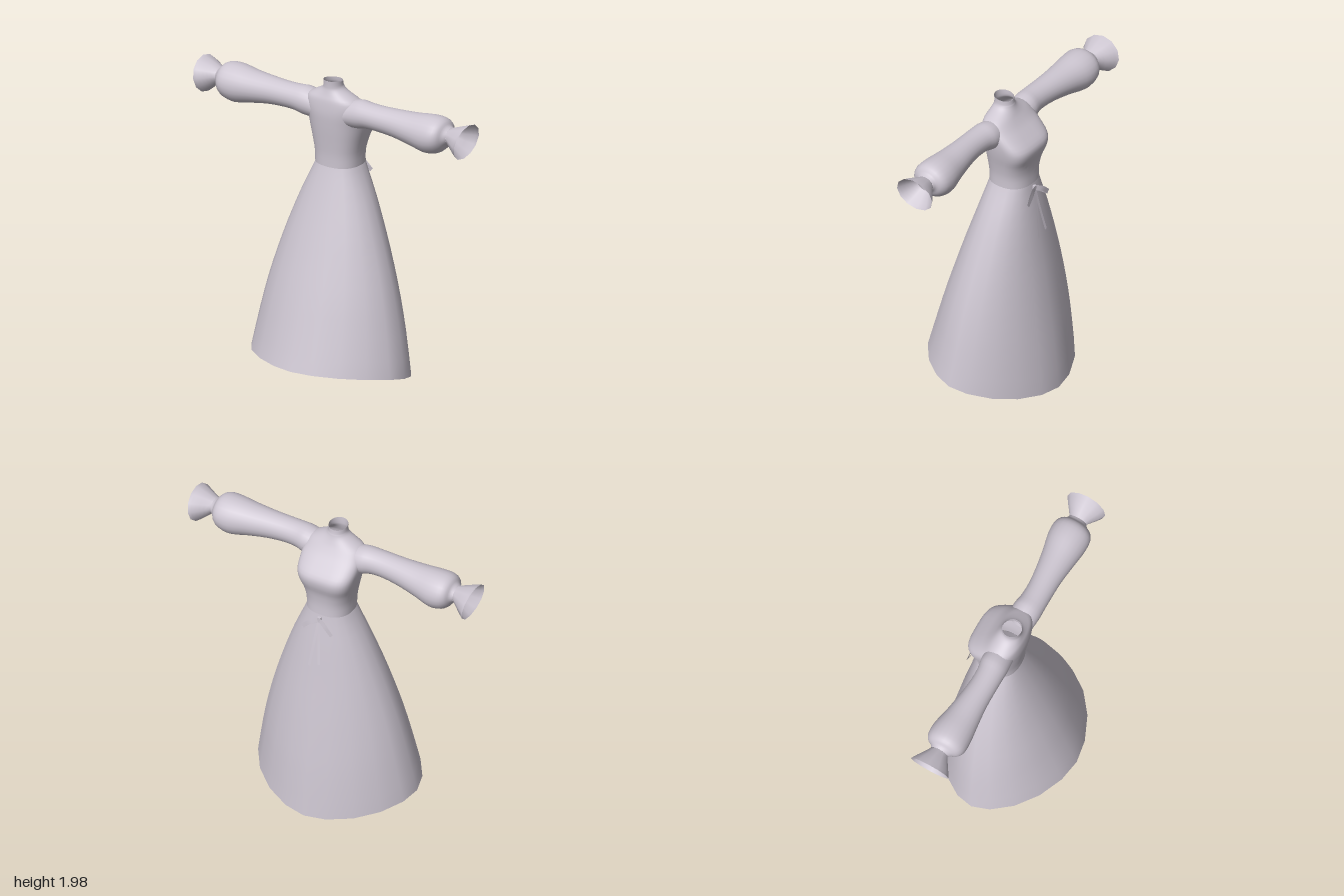
import * as THREE from 'three';

const cloth = new THREE.MeshStandardMaterial({ color: 0xcdc6d1, side: THREE.DoubleSide });
cloth.name = 'pale lilac cloth';

// Open skin over a list of closed rings of points
function loft(rings, flip = false) {
  const n = rings[0].length;
  const index = [];
  for (let r = 0; r < rings.length - 1; r++) {
    for (let i = 0; i < n; i++) {
      const a = r * n + i, b = r * n + (i + 1) % n, c = a + n, d = b + n;
      if (flip) index.push(a, b, c, b, d, c);
      else index.push(a, c, b, b, c, d);
    }
  }
  const geometry = new THREE.BufferGeometry();
  geometry.setAttribute('position', new THREE.Float32BufferAttribute(rings.flat(2), 3));
  geometry.setIndex(index);
  geometry.computeVertexNormals();
  return geometry;
}

// Smoothly fills in rows of section values
function refine(rows, steps) {
  const out = [];
  const last = rows.length - 1;
  for (let k = 0; k <= last * steps; k++) {
    const i = Math.min(Math.floor(k / steps), last - 1), t = k / steps - i;
    const p = [i - 1, i, i + 1, i + 2].map((j) => rows[THREE.MathUtils.clamp(j, 0, last)]);
    out.push(p[0].map((_, c) => {
      const [a, b, d, e] = p.map((row) => row[c]);
      const m0 = (d - a) / 2, m1 = (e - b) / 2;
      return b + m0 * t + (3 * (d - b) - 2 * m0 - m1) * t * t + (2 * (b - d) + m0 + m1) * t * t * t;
    }));
  }
  return out;
}

const power = (v, p) => Math.sign(v) * Math.abs(v) ** (2 / p);

// Horizontal outline: half width, front z, back z, squareness of front and back
function outline(n, halfW, front, back, pf, pb, yAt) {
  return Array.from({ length: n }, (_, i) => {
    const a = (i / n) * Math.PI * 2, c = Math.cos(a), s = Math.sin(a);
    const p = s >= 0 ? pf : pb;
    const z = (front + back) / 2 + (front - back) / 2 * power(s, p);
    return [halfW * power(c, p), yAt(z, s), z];
  });
}

function makeSkirt() {
  // t from waist to hem, half width, front z, back z, squareness
  const rows = refine([
    [1, 0.55, 0.43, -0.435, 1.75],
    [0.8, 0.502, 0.355, -0.405, 1.8],
    [0.64, 0.455, 0.295, -0.375, 1.85],
    [0.49, 0.4, 0.235, -0.345, 1.9],
    [0.33, 0.33, 0.17, -0.31, 2],
    [0.17, 0.25, 0.105, -0.277, 2.1],
    [0.05, 0.178, 0.058, -0.25, 2.3],
    [0, 0.15, 0.04, -0.24, 2.4],
  ], 2);
  return loft(rows.map(([t, w, f, b, p]) => outline(20, w, f, b, p, p, (z, s) => {
    const hemZ = 0.432 * power(s, p);
    const hem = 0.14 + 0.22 * hemZ - 0.19 * hemZ * hemZ;
    return THREE.MathUtils.lerp(1.425, hem, t);
  })));
}

function makeBodice() {
  // y, half width, front z, back z, squareness of front and back
  const rows = refine([
    [1.425, 0.15, 0.04, -0.24, 2.4, 2.4],
    [1.5, 0.152, 0.042, -0.238, 2.4, 2.5],
    [1.58, 0.166, 0.05, -0.248, 2.4, 2.9],
    [1.65, 0.183, 0.058, -0.27, 2.4, 3.4],
    [1.71, 0.194, 0.064, -0.268, 2.4, 3.4],
    [1.77, 0.2, 0.068, -0.215, 2.4, 3.2],
    [1.82, 0.198, 0.066, -0.165, 2.4, 2.8],
    [1.865, 0.18, 0.06, -0.13, 2.3, 2.4],
    [1.895, 0.13, 0.05, -0.112, 2.1, 2.1],
    [1.92, 0.086, 0.042, -0.1, 2, 2],
    [1.945, 0.063, 0.037, -0.092, 2, 2],
    [1.985, 0.06, 0.039, -0.086, 2, 2],
  ], 3);
  return loft(rows.map(([y, w, f, b, pf, pb]) =>
    // collar rim dips slightly towards the back
    outline(40, w, f, b, pf, pb, (z) => y + (y > 1.95 ? z * 0.12 : 0))));
}

// Upright sections along x: x, top y, bottom y, front z, back z
function sleeveRings(rows, n, side, slant = () => 0) {
  return rows.map(([x, top, bottom, front, back], k) => Array.from({ length: n }, (_, i) => {
    const a = (i / n) * Math.PI * 2;
    const y = (top + bottom) / 2 + (top - bottom) / 2 * Math.cos(a);
    const z = (front + back) / 2 + (front - back) / 2 * Math.sin(a);
    return [side * (x + slant(k / (rows.length - 1), Math.cos(a))), y, z];
  }));
}

function makeSleeve(side) {
  const rows = refine([
    [0.12, 1.87, 1.7, 0.05, -0.12],
    [0.2, 1.888, 1.705, 0.058, -0.125],
    [0.27, 1.886, 1.721, 0.058, -0.112],
    [0.36, 1.885, 1.722, 0.058, -0.11],
    [0.47, 1.888, 1.712, 0.06, -0.122],
    [0.6, 1.895, 1.688, 0.072, -0.145],
    [0.71, 1.907, 1.664, 0.084, -0.17],
    [0.785, 1.906, 1.677, 0.083, -0.17],
    [0.825, 1.89, 1.705, 0.062, -0.15],
    [0.845, 1.865, 1.735, 0.03, -0.12],
    [0.866, 1.852, 1.755, 0.01, -0.108],
  ], 3);
  return loft(sleeveRings(rows, 24, side), side > 0);
}

function makeCuff(side) {
  const rows = refine([
    [0.866, 1.852, 1.755, 0.01, -0.108],
    [0.9, 1.868, 1.728, 0.03, -0.13],
    [0.94, 1.885, 1.698, 0.056, -0.16],
    [0.98, 1.9, 1.672, 0.08, -0.185],
  ], 2);
  return loft(sleeveRings(rows, 12, side, (t, up) => 0.02 * t * up), side > 0);
}

// Flat ribbon of constant width through a few points, lying across the back
function ribbon(points, width) {
  const curve = new THREE.CatmullRomCurve3(points.map((p) => new THREE.Vector3(...p)));
  const positions = [], index = [], steps = 10;
  for (let i = 0; i <= steps; i++) {
    const p = curve.getPoint(i / steps), t = curve.getTangent(i / steps);
    const across = new THREE.Vector3(0, 0, -1).cross(t).normalize().multiplyScalar(width / 2);
    positions.push(...p.clone().add(across).toArray(), ...p.clone().sub(across).toArray());
    if (i < steps) index.push(2 * i, 2 * i + 1, 2 * i + 2, 2 * i + 1, 2 * i + 3, 2 * i + 2);
  }
  const geometry = new THREE.BufferGeometry();
  geometry.setAttribute('position', new THREE.Float32BufferAttribute(positions, 3));
  geometry.setIndex(index);
  geometry.computeVertexNormals();
  return geometry;
}

export function createModel() {
  const model = new THREE.Group();
  const add = (name, geometry, parent = model) => {
    const mesh = new THREE.Mesh(geometry, cloth);
    mesh.name = name;
    parent.add(mesh);
    return mesh;
  };

  add('skirt', makeSkirt());
  add('bodice', makeBodice());
  for (const side of [1, -1]) {
    const label = side > 0 ? 'left' : 'right';
    add(label + 'Sleeve', makeSleeve(side));
    add(label + 'Cuff', makeCuff(side));
  }

  // Waist bow with two loops and two hanging tails
  const bow = new THREE.Group();
  bow.name = 'bow';
  model.add(bow);
  add('knot', new THREE.BoxGeometry(0.022, 0.035, 0.016), bow).position.set(0, 1.395, -0.252);
  for (const side of [1, -1]) {
    const label = side > 0 ? 'left' : 'right';
    const end = side > 0 ? 1.07 : 1.1;
    add(label + 'LoopOuter', ribbon([
      [0, 1.4, -0.256], [side * 0.05, 1.375, -0.275], [side * 0.105, 1.325, -0.28],
    ], 0.03), bow);
    add(label + 'LoopInner', ribbon([
      [0, 1.39, -0.25], [side * 0.05, 1.365, -0.262], [side * 0.105, 1.325, -0.28],
    ], 0.03), bow);
    add(label + 'Tail', ribbon([
      [0, 1.395, -0.256], [side * 0.015, 1.25, -0.283], [side * 0.035, end, -0.313],
    ], 0.018), bow);
  }
  return model;
}
